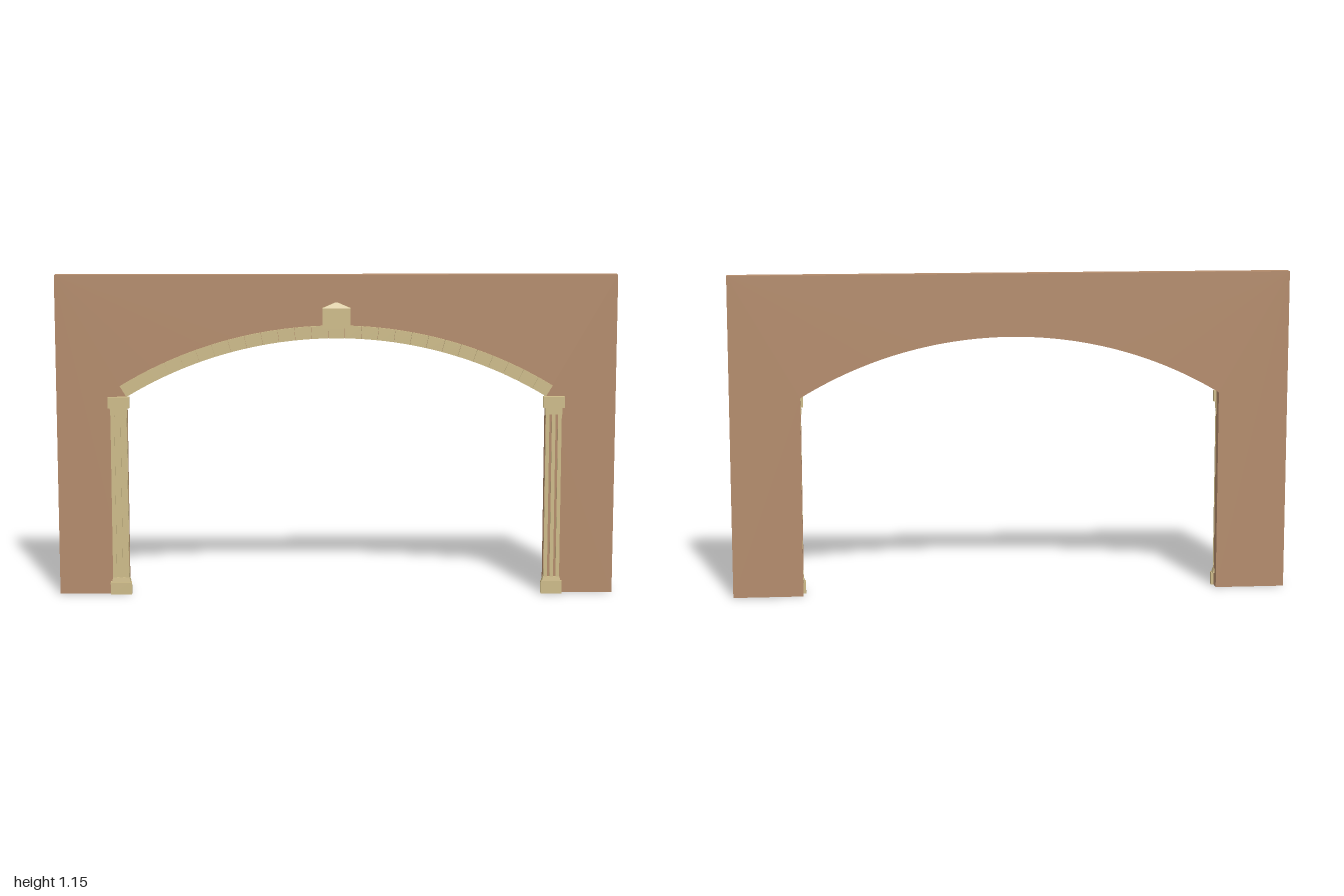
import * as THREE from 'three';

const HALF = 0.75, SPRING = 0.72, CROWN = 0.93;
const RISE = CROWN - SPRING;
const R = (HALF * HALF + RISE * RISE) / (2 * RISE);
const CY = CROWN - R;
const SPAN = Math.asin(HALF / R); // half angle of the arch
const WALL_BACK = -0.032, WALL_FRONT = 0.012;

export function createModel() {
  const model = new THREE.Group();
  model.name = 'archedWall';
  const brick = new THREE.MeshStandardMaterial({ color: 0xb38b6b });
  brick.name = 'brownWall';
  const stone = new THREE.MeshStandardMaterial({ color: 0xcdbb89 });
  stone.name = 'paleStone';

  function add(parent, name, geometry, material) {
    const mesh = new THREE.Mesh(geometry, material);
    mesh.name = name;
    parent.add(mesh);
    return mesh;
  }
  // Box from its limits
  function box(parent, name, x0, x1, y0, y1, z0, z1, material = stone) {
    const mesh = add(parent, name, new THREE.BoxGeometry(x1 - x0, y1 - y0, z1 - z0), material);
    mesh.position.set((x0 + x1) / 2, (y0 + y1) / 2, (z0 + z1) / 2);
    return mesh;
  }
  // Box whose top is scaled towards its middle
  function taperedBox(w, h, d, sx, sz) {
    const g = new THREE.BoxGeometry(w, h, d).toNonIndexed();
    const p = g.attributes.position;
    for (let i = 0; i < p.count; i++) {
      if (p.getY(i) > 0) p.setXYZ(i, p.getX(i) * sx, p.getY(i), p.getZ(i) * sz);
    }
    g.computeVertexNormals();
    return g;
  }

  // Wall with a segmental arch opening down to the ground
  const outline = new THREE.Shape();
  outline.moveTo(-1, 0);
  outline.lineTo(-HALF, 0);
  outline.lineTo(-HALF, SPRING);
  outline.absarc(0, CY, R, Math.PI / 2 + SPAN, Math.PI / 2 - SPAN, true);
  outline.lineTo(HALF, 0);
  outline.lineTo(1, 0);
  outline.lineTo(1, 1.155);
  outline.lineTo(-1, 1.155);
  outline.closePath();
  const wall = add(model, 'wall', new THREE.ExtrudeGeometry(outline, {
    depth: WALL_FRONT - WALL_BACK, bevelEnabled: false, curveSegments: 48,
  }), brick);
  wall.position.z = WALL_BACK;

  // Ring of arch stones with fine joints
  const arch = new THREE.Group();
  arch.name = 'archStones';
  model.add(arch);
  const COUNT = 27, STEP = (2 * SPAN) / COUNT, GAP = 0.0008;
  for (let i = 0; i < COUNT; i++) {
    const a0 = Math.PI / 2 - SPAN + i * STEP + GAP / 2;
    const a1 = a0 + STEP - GAP;
    const s = new THREE.Shape();
    s.absarc(0, CY, R + 0.045, a0, a1, false);
    s.absarc(0, CY, R, a1, a0, true);
    s.closePath();
    const block = add(arch, 'archStone', new THREE.ExtrudeGeometry(s, {
      depth: 0.01, bevelEnabled: false, curveSegments: 3,
    }), stone);
    block.position.z = WALL_FRONT;
  }

  // Keystone with a low pointed cap
  const keystone = new THREE.Group();
  keystone.name = 'keystone';
  model.add(keystone);
  box(keystone, 'keystoneFoot', -0.02, 0.02, 0.93, 0.97, WALL_FRONT, 0.026);
  box(keystone, 'keystoneBlock', -0.05, 0.05, 0.967, 1.038, WALL_FRONT, 0.032);
  const cap = add(keystone, 'keystoneCap', taperedBox(0.1, 0.02, 0.02, 0.08, 0.08), stone);
  cap.position.set(0, 1.048, 0.022);

  // Fluted pilasters, one each side
  for (const side of [1, -1]) {
    const pilaster = new THREE.Group();
    pilaster.name = side > 0 ? 'leftPilaster' : 'rightPilaster';
    pilaster.position.x = side * 0.778;
    model.add(pilaster);

    box(pilaster, 'base', -0.038, 0.038, 0, 0.045, WALL_FRONT, 0.031);
    const baseTop = add(pilaster, 'baseMoulding', taperedBox(0.068, 0.017, 0.03, 0.86, 0.86), stone);
    baseTop.position.set(0, 0.0535, 0.013);
    box(pilaster, 'capital', -0.038, 0.038, 0.68, SPRING, WALL_FRONT, 0.031);
    box(pilaster, 'capitalNeck', -0.031, 0.031, 0.655, 0.68, WALL_FRONT, 0.027);

    // Shaft backing; the one on the model's left shows wall colour in its flutes
    box(pilaster, 'shaft', -0.03, 0.03, 0.06, 0.656, WALL_FRONT, 0.02, side > 0 ? brick : stone);
    for (const x of [-0.022, 0, 0.022]) {
      box(pilaster, 'shaftRib', x - 0.0065, x + 0.0065, 0.06, 0.656, WALL_FRONT, 0.026);
    }
  }
  return model;
}
